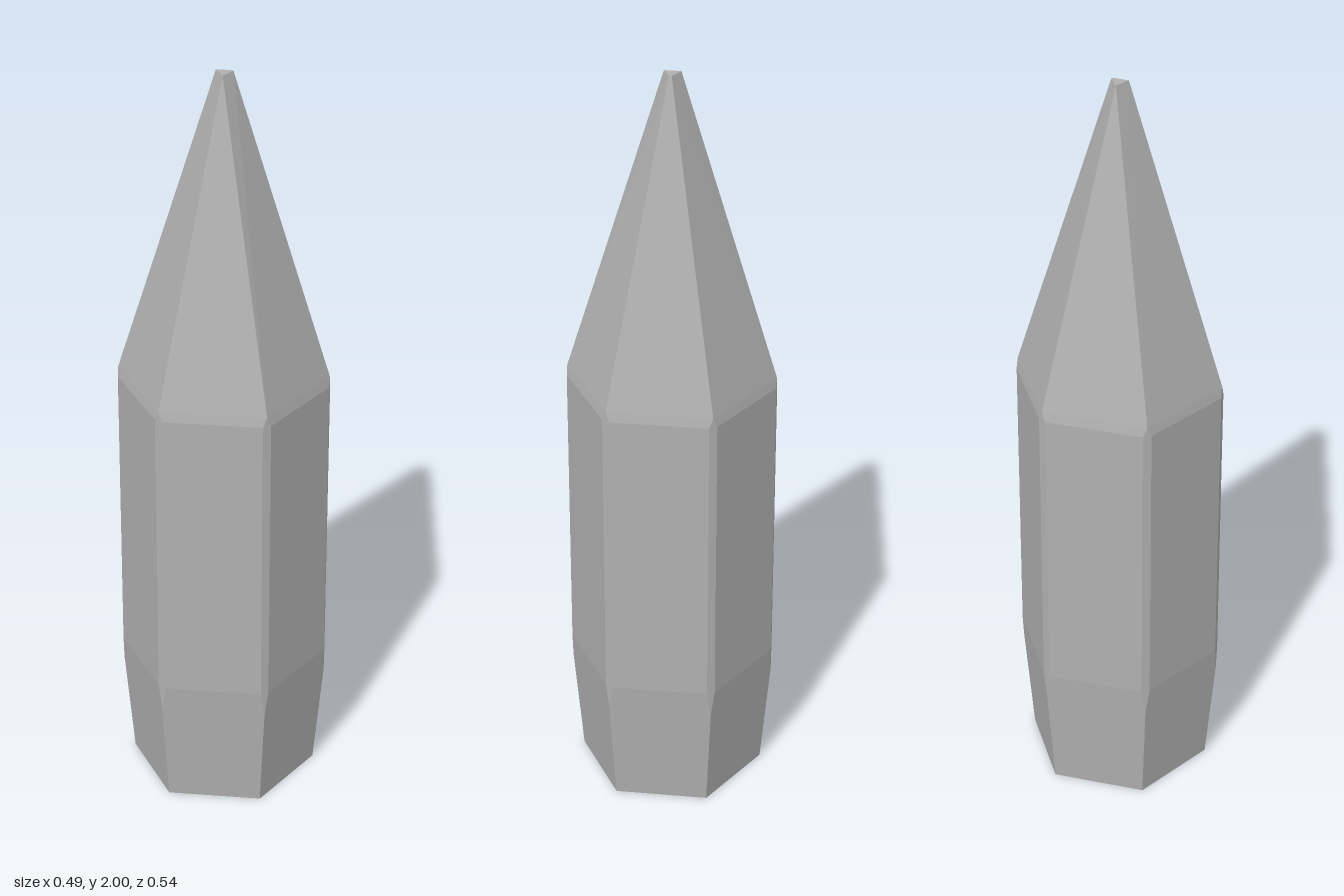
import * as THREE from 'three';
import { ConvexGeometry } from 'three/addons/geometries/ConvexGeometry.js';

export function createModel() {
  const group = new THREE.Group();
  const stone = new THREE.MeshStandardMaterial({ color: 0xb0b0b0 });
  stone.name = 'grey stone';

  // Three corners of the slightly irregular hexagon (x, z); the rest are opposite
  const half = [[0.014, 0.271], [0.241, 0.122], [0.227, -0.15]];
  const corners = [...half, ...half.map(([x, z]) => [-x, -z])];

  const points = [];
  const add = (x, y, z) => points.push(new THREE.Vector3(x, y, z));

  for (const [x, z] of corners) {
    const r = Math.hypot(x, z);
    // Sharp foot corner, narrower than the body
    add(x * 0.905, 0, z * 0.905);
    // Narrow bevel along the upright edge, pointed at both ends
    add(x, 0.29, z);
    add(x, 1.185, z);
    for (const side of [-1, 1]) {
      const dx = side * 0.011 * z / r, dz = -side * 0.011 * x / r;
      add(x + dx, 0.36, z + dz);
      add(x + dx, 1.16, z + dz);
    }
  }

  // Small flat facet at the tip
  for (const [x, z] of [[-0.025, 0], [0.008, -0.023], [0.014, -0.02], [0.013, 0.02]]) add(x, 2, z);

  const crystal = new THREE.Mesh(new ConvexGeometry(points), stone);
  crystal.name = 'crystal';
  group.add(crystal);
  return group;
}
